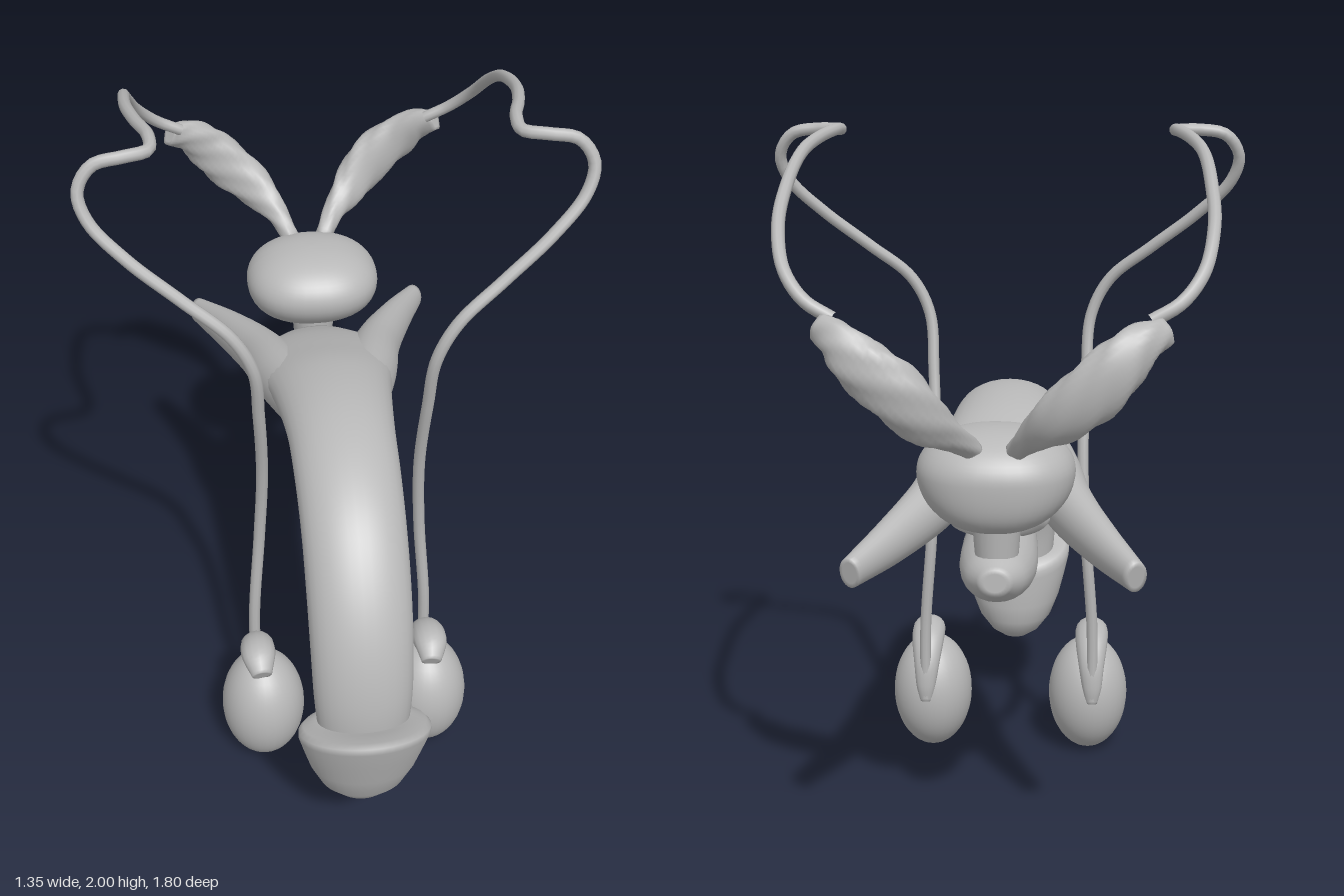
import * as THREE from 'three';

const tissue = new THREE.MeshStandardMaterial({ color: 0xb8b8b8 });
const V = (x, y, z) => new THREE.Vector3(x, y, z);

function part(name, geometry) {
  const mesh = new THREE.Mesh(geometry, tissue);
  mesh.name = name;
  return mesh;
}

// Closed skin over a list of rings (arrays of points, same length)
function loft(rings) {
  const n = rings[0].length, pos = [], idx = [];
  rings.forEach(r => r.forEach(p => pos.push(p.x, p.y, p.z)));
  for (let i = 0; i < rings.length - 1; i++) {
    for (let j = 0; j < n; j++) {
      const k = (j + 1) % n;
      const a = i * n + j, b = i * n + k, c = b + n, d = a + n;
      idx.push(a, b, c, a, c, d);
    }
  }
  const g = new THREE.BufferGeometry();
  g.setAttribute('position', new THREE.Float32BufferAttribute(pos, 3));
  g.setIndex(idx);
  g.computeVertexNormals();
  return g;
}

// Elliptical sweep; stations are [x, y, z, half width along ref, half thickness]
function sweep(stations, { ref = V(1, 0, 0), steps = 48, sides = 24, lump = 0 } = {}) {
  const path = new THREE.CatmullRomCurve3(stations.map(s => V(s[0], s[1], s[2])));
  const size = new THREE.CatmullRomCurve3(stations.map(s => V(s[3], s[4], 0)), false, 'catmullrom', 0.5);
  const rings = [];
  const ring = (u, inset) => {
    const c = path.getPoint(u), t = path.getTangent(u), r = size.getPoint(u);
    const side = ref.clone().addScaledVector(t, -ref.dot(t)).normalize();
    const up = t.clone().cross(side);
    rings.push(Array.from({ length: sides }, (_, j) => {
      const a = j / sides * Math.PI * 2;
      const k = inset * (1 + lump * Math.sin(u * 21 + 2 * a) * Math.cos(3 * a + u * 9));
      return c.clone().addScaledVector(side, Math.cos(a) * r.x * k).addScaledVector(up, Math.sin(a) * r.y * k);
    }));
  };
  ring(0, 0);
  ring(0, 0.7);
  for (let i = 0; i <= steps; i++) ring(i / steps, 1);
  ring(1, 0.7);
  ring(1, 0);
  return loft(rings);
}

// Rounded cap; levels are [y, z, half width, half depth, forward tilt]
function capGeometry() {
  const levels = [
    [0.222, 0.71, 0, 0, 0], [0.228, 0.71, 0.04, 0.035, 0], [0.255, 0.712, 0.08, 0.068, 0.004],
    [0.31, 0.724, 0.122, 0.104, 0.015], [0.38, 0.737, 0.15, 0.121, 0.03], [0.45, 0.749, 0.168, 0.133, 0.048],
    [0.515, 0.762, 0.183, 0.146, 0.066], [0.538, 0.763, 0.183, 0.146, 0.068],
    [0.55, 0.757, 0.17, 0.133, 0.06], [0.545, 0.74, 0.13, 0.09, 0.03], [0.53, 0.73, 0, 0, 0],
  ];
  return loft(levels.map(([y, z, rx, rz, tilt]) => Array.from({ length: 40 }, (_, j) => {
    const a = j / 40 * Math.PI * 2;
    return V(rx * Math.cos(a), y - tilt * Math.sin(a), z - rz * Math.sin(a));
  })));
}

// Squarish flattened gland, leaning back towards its base
function glandGeometry() {
  const g = new THREE.SphereGeometry(1, 40, 28), p = g.attributes.position;
  const puff = v => Math.sign(v) * Math.pow(Math.abs(v), 0.88);
  for (let i = 0; i < p.count; i++) {
    const x = p.getX(i), y = p.getY(i), z = p.getZ(i);
    const low = Math.max(0, -y);
    p.setXYZ(i, puff(x) * 0.205, 1.165 + y * (y > 0 ? 0.115 : 0.145), -0.562 + puff(z) * 0.19 - low * low * 0.06);
  }
  g.computeVertexNormals();
  return g;
}

function sideParts(s) {
  const group = new THREE.Group();
  group.name = s > 0 ? 'leftSide' : 'rightSide';
  const m = list => list.map(([x, ...rest]) => [x * s, ...rest]);

  const testis = part('testis', new THREE.SphereGeometry(1, 32, 24));
  testis.scale.set(0.125, 0.185, 0.135);
  testis.position.set(0.25 * s, 0.19, 0.303);
  group.add(testis);

  // Cap over the top of the testis, with its tail down the back
  group.add(part('epididymis', sweep(m([
    [0.255, 0.37, 0.375, 0.03, 0.025], [0.26, 0.395, 0.32, 0.05, 0.04], [0.26, 0.375, 0.25, 0.05, 0.042],
    [0.26, 0.32, 0.198, 0.04, 0.03], [0.262, 0.25, 0.18, 0.03, 0.022], [0.262, 0.2, 0.177, 0.018, 0.014],
  ]), { steps: 30, sides: 16 })));

  // Long duct looping up, out and round to the back
  const duct = m([
    [0.262, 0.21, 0.177], [0.26, 0.45, 0.18], [0.237, 0.75, 0.175], [0.225, 1.0, 0.205], [0.232, 1.25, 0.262],
    [0.245, 1.42, 0.295], [0.3, 1.53, 0.293], [0.42, 1.63, 0.26], [0.55, 1.735, 0.22], [0.64, 1.83, 0.18],
    [0.66, 1.905, 0.155], [0.62, 1.965, 0.137], [0.54, 1.98, 0.128], [0.478, 1.98, 0.1], [0.475, 1.985, 0.03],
    [0.505, 1.972, -0.08], [0.53, 1.945, -0.22], [0.538, 1.88, -0.43], [0.535, 1.79, -0.6],
    [0.505, 1.695, -0.71], [0.45, 1.63, -0.76], [0.38, 1.59, -0.775],
  ]).map(p => V(...p));
  group.add(part('duct', new THREE.TubeGeometry(new THREE.CatmullRomCurve3(duct), 160, 0.017, 10)));

  // Flattened lumpy gland rising from the middle to the duct
  group.add(part('seminalVesicle', sweep(m([
    [0.05, 1.24, -0.68, 0.025, 0.025], [0.09, 1.29, -0.75, 0.03, 0.035], [0.15, 1.345, -0.81, 0.038, 0.06],
    [0.225, 1.42, -0.842, 0.042, 0.073], [0.3, 1.49, -0.85, 0.04, 0.068], [0.36, 1.545, -0.825, 0.035, 0.05],
    [0.415, 1.57, -0.785, 0.022, 0.033],
  ]), { ref: V(0, 0, 1), steps: 40, lump: 0.12 })));

  // Splayed root of the shaft
  group.add(part('crus', sweep(m([
    [0.08, 1.11, 0.05, 0.07, 0.085], [0.13, 1.06, -0.18, 0.085, 0.09], [0.185, 1.015, -0.38, 0.07, 0.082],
    [0.27, 0.975, -0.58, 0.05, 0.065], [0.358, 0.942, -0.755, 0.03, 0.042],
  ]))));
  return group;
}

export function createModel() {
  const model = new THREE.Group();
  model.name = 'reproductiveAnatomy';

  model.add(part('shaft', sweep([
    [0, 0.45, 0.73, 0.12, 0.08], [0, 0.62, 0.725, 0.135, 0.088], [0, 0.77, 0.685, 0.14, 0.092],
    [0, 0.91, 0.608, 0.142, 0.095], [0, 1.025, 0.5, 0.143, 0.096], [0, 1.1, 0.36, 0.146, 0.096],
    [0, 1.135, 0.2, 0.152, 0.096], [0, 1.12, 0, 0.172, 0.098], [0, 1.075, -0.17, 0.198, 0.092],
    [0, 1.03, -0.32, 0.2, 0.08], [0, 0.99, -0.45, 0.13, 0.055],
  ], { steps: 64, sides: 32 })));

  // Lower column swelling into the rear bulb
  model.add(part('lowerColumn', sweep([
    [0, 0.42, 0.66, 0.05, 0.045], [0, 0.55, 0.655, 0.052, 0.045], [0, 0.68, 0.632, 0.055, 0.045],
    [0, 0.81, 0.578, 0.056, 0.045], [0, 0.95, 0.465, 0.058, 0.047], [0, 1.035, 0.31, 0.06, 0.047],
    [0, 1.045, 0.15, 0.062, 0.05], [0, 1.005, 0, 0.07, 0.06], [0, 0.945, -0.15, 0.085, 0.075],
    [0, 0.89, -0.3, 0.1, 0.09], [0, 0.87, -0.45, 0.105, 0.09], [0, 0.875, -0.57, 0.085, 0.07],
    [0, 0.88, -0.64, 0.04, 0.035],
  ], { steps: 64 })));

  model.add(part('cap', capGeometry()));
  model.add(part('centralGland', glandGeometry()));

  // Short channel joining the gland to the bulb
  const channel = part('channel', new THREE.CylinderGeometry(0.07, 0.055, 0.2, 20));
  channel.position.set(0, 0.99, -0.54);
  model.add(channel);

  model.add(sideParts(1), sideParts(-1));
  return model;
}
